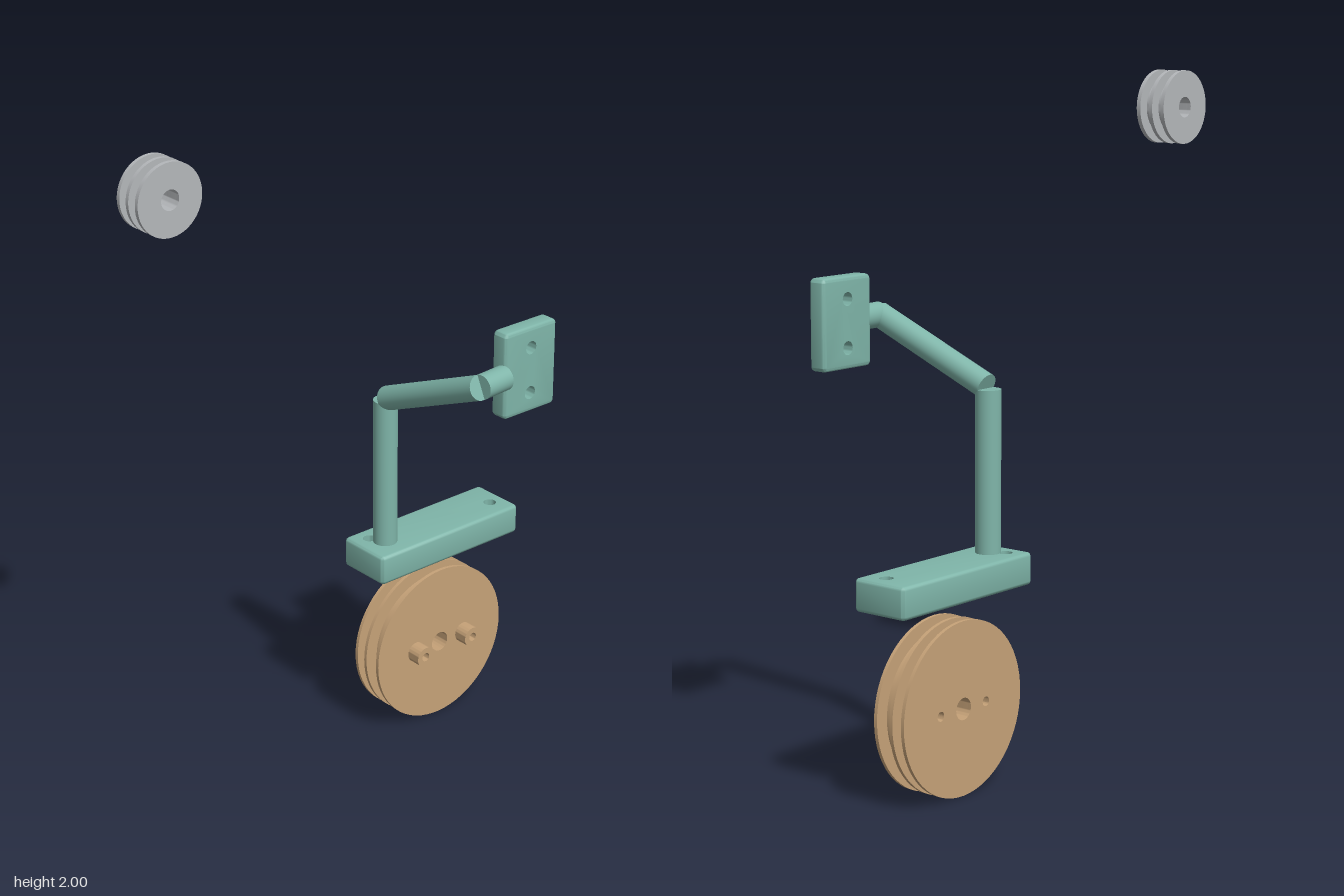
import * as THREE from 'three';
import { toCreasedNormals } from 'three/addons/utils/BufferGeometryUtils.js';

const material = (name, color) => Object.assign(new THREE.MeshStandardMaterial({ color }), { name });

function addHoles(shape, holes) {
  for (const [u, v, r] of holes) {
    shape.holes.push(new THREE.Path().absarc(u, v, r, 0, Math.PI * 2, true));
  }
  return shape;
}

// Round disc between x0 and x1, pierced along x; holes are [u, v, radius] from its centre
function disc(radius, x0, x1, holes) {
  const shape = addHoles(new THREE.Shape().absarc(0, 0, radius, 0, Math.PI * 2), holes);
  const geometry = new THREE.ExtrudeGeometry(shape, { depth: x1 - x0, bevelEnabled: false, curveSegments: 32 });
  geometry.translate(0, 0, x0).rotateY(Math.PI / 2);
  return toCreasedNormals(geometry, 0.6);
}

// Soft-edged block lying in the uv plane, centred on the origin, with straight round holes
function softPlate(width, height, depth, holes, bevel = 0.011) {
  const w = width / 2 - bevel, h = height / 2 - bevel;
  const shape = new THREE.Shape([[-w, -h], [w, -h], [w, h], [-w, h]].map(p => new THREE.Vector2(...p)));
  const c = 0.004;
  const outline = new THREE.Shape();
  outline.absarc(w - c, h - c, c, 0, Math.PI / 2);
  outline.absarc(-w + c, h - c, c, Math.PI / 2, Math.PI);
  outline.absarc(-w + c, -h + c, c, Math.PI, Math.PI * 1.5);
  outline.absarc(w - c, -h + c, c, Math.PI * 1.5, Math.PI * 2);
  addHoles(outline, holes);
  const geometry = new THREE.ExtrudeGeometry(outline, {
    depth: depth - 2 * bevel, bevelSize: bevel, bevelThickness: bevel, bevelSegments: 3, curveSegments: 10,
  });
  geometry.translate(0, 0, bevel - depth / 2);
  // Keep the hole walls straight where the bevel would narrow them
  const pos = geometry.attributes.position;
  for (let i = 0; i < pos.count; i++) {
    for (const [u, v, r] of holes) {
      const du = pos.getX(i) - u, dv = pos.getY(i) - v, d = Math.hypot(du, dv);
      if (d < r + 0.004) pos.setXY(i, u + du / d * r, v + dv / d * r);
    }
  }
  return toCreasedNormals(geometry, 0.65);
}

// Straight round bar between two points
function rod(a, b, radius) {
  const start = new THREE.Vector3(...a), end = new THREE.Vector3(...b);
  const dir = end.clone().sub(start);
  const geometry = new THREE.CylinderGeometry(radius, radius, dir.length(), 40);
  geometry.applyQuaternion(new THREE.Quaternion().setFromUnitVectors(new THREE.Vector3(0, 1, 0), dir.normalize()));
  const mid = start.add(end).multiplyScalar(0.5);
  return geometry.translate(mid.x, mid.y, mid.z);
}

export function createModel() {
  const model = new THREE.Group();
  const teal = material('teal', 0x7fb5a9);
  const tan = material('tan', 0xc6a278);
  const grey = material('grey', 0xb4b7ba);

  const group = (name, x = 0, y = 0, z = 0) => {
    const g = new THREE.Group();
    g.name = name;
    g.position.set(x, y, z);
    model.add(g);
    return g;
  };
  const add = (parent, name, geometry, mat) => {
    const mesh = new THREE.Mesh(geometry, mat);
    mesh.name = name;
    parent.add(mesh);
    return mesh;
  };

  // Double-groove pulley: flanges and cores alternate between the x breaks
  const pulley = (parent, breaks, rim, core, holes, mat) => {
    for (let i = 0; i < breaks.length - 1; i++) {
      const flange = i % 2 === 0;
      add(parent, flange ? 'flange' : 'grooveCore', disc(flange ? rim : core, breaks[i], breaks[i + 1], holes), mat);
    }
  };

  // Large pulley with two hollow pegs
  const large = group('largePulley', 0, 0.255, -0.355);
  const pegOffset = 0.098, bore = 0.014;
  pulley(large, [-0.206, -0.195, -0.164, -0.153, -0.108, -0.097], 0.253, 0.212,
    [[0, 0, 0.032], [pegOffset, 0, bore], [-pegOffset, 0, bore]], tan);
  for (const side of [-1, 1]) {
    add(large, 'peg', disc(0.032, -0.097, -0.051, [[0, 0, bore]]), tan).position.z = side * pegOffset;
  }

  // Small pulley
  const small = group('smallPulley', 0, 1.894, 0.533);
  pulley(small, [-0.31, -0.298, -0.269, -0.257, -0.227, -0.214], 0.107, 0.075, [[0, 0, 0.03]], grey);

  // Bracket: drilled base bar, three rods and drilled end plate
  const bracket = group('bracket');
  const base = softPlate(0.181, 0.556, 0.094, [[0.021, 0.222, 0.02], [-0.036, -0.223, 0.02]]).rotateX(-Math.PI / 2);
  add(bracket, 'baseBar', base, teal).position.set(-0.144, 0.613, -0.36);

  const r = 0.037;
  add(bracket, 'post', rod([-0.138, 0.64, -0.164], [-0.138, 1.13, -0.164], r), teal);
  add(bracket, 'slopedArm', rod([-0.131, 1.137, -0.164], [0.27, 1.307, -0.164], r), teal);
  add(bracket, 'stub', rod([0.27, 1.307, -0.168], [0.262, 1.307, -0.264], r), teal);

  const plate = softPlate(0.199, 0.265, 0.056, [[0, 0.068, 0.02], [0, -0.072, 0.02]]).rotateY(Math.PI / 2);
  add(bracket, 'endPlate', plate, teal).position.set(0.242, 1.307, -0.36);

  return model;
}
